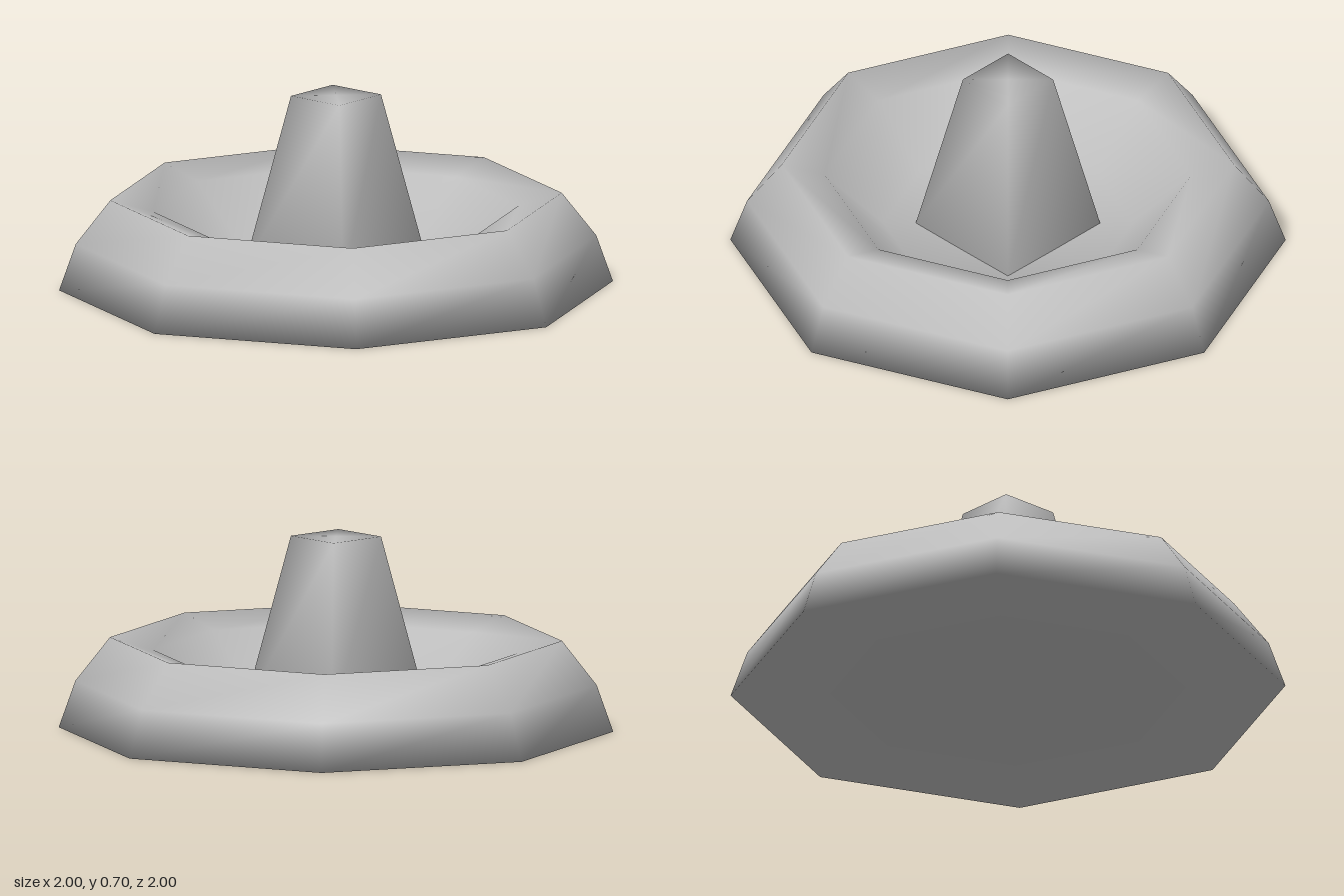
import * as THREE from 'three';

// Closed, smoothly shaded solid made by stacking regular polygons;
// profile is [radius, height] from the bottom centre to the top centre.
function polygonSolid(profile, sides, turn) {
  const positions = [], index = [], starts = [];
  for (const [r, y] of profile) {
    starts.push(positions.length / 3);
    const count = r === 0 ? 1 : sides;
    for (let i = 0; i < count; i++) {
      const a = turn + (i / sides) * Math.PI * 2;
      positions.push(r * Math.sin(a), y, r * Math.cos(a));
    }
  }
  const at = (j, i) => starts[j] + (profile[j][0] === 0 ? 0 : i % sides);
  for (let j = 0; j < profile.length - 1; j++) {
    for (let i = 0; i < sides; i++) {
      const a = at(j, i), b = at(j, i + 1), c = at(j + 1, i + 1), d = at(j + 1, i);
      if (a !== b) index.push(a, b, c);
      if (c !== d) index.push(a, c, d);
    }
  }
  const geometry = new THREE.BufferGeometry();
  geometry.setAttribute('position', new THREE.Float32BufferAttribute(positions, 3));
  geometry.setIndex(index);
  geometry.computeVertexNormals();
  return geometry;
}

export function createModel() {
  const model = new THREE.Group();
  const stone = new THREE.MeshStandardMaterial({ color: 0xbcbcbc });
  stone.name = 'grey stone';

  const add = (name, geometry) => {
    const mesh = new THREE.Mesh(geometry, stone);
    mesh.name = name;
    model.add(mesh);
  };

  // Eight-sided basin: flat base, sloping outer wall, rim and sunken floor
  add('basin', polygonSolid([
    [0, 0], [1, 0], [0.94, 0.17], [0.815, 0.33],
    [0.66, 0.285], [0.45, 0.075], [0, 0.07],
  ], 8, 0));

  // Tapered square pillar standing on the floor
  const corner = Math.SQRT2;
  add('pillar', polygonSolid([
    [0, 0.072], [0.235 * corner, 0.072], [0.115 * corner, 0.705], [0, 0.705],
  ], 4, Math.PI / 4));

  return model;
}
